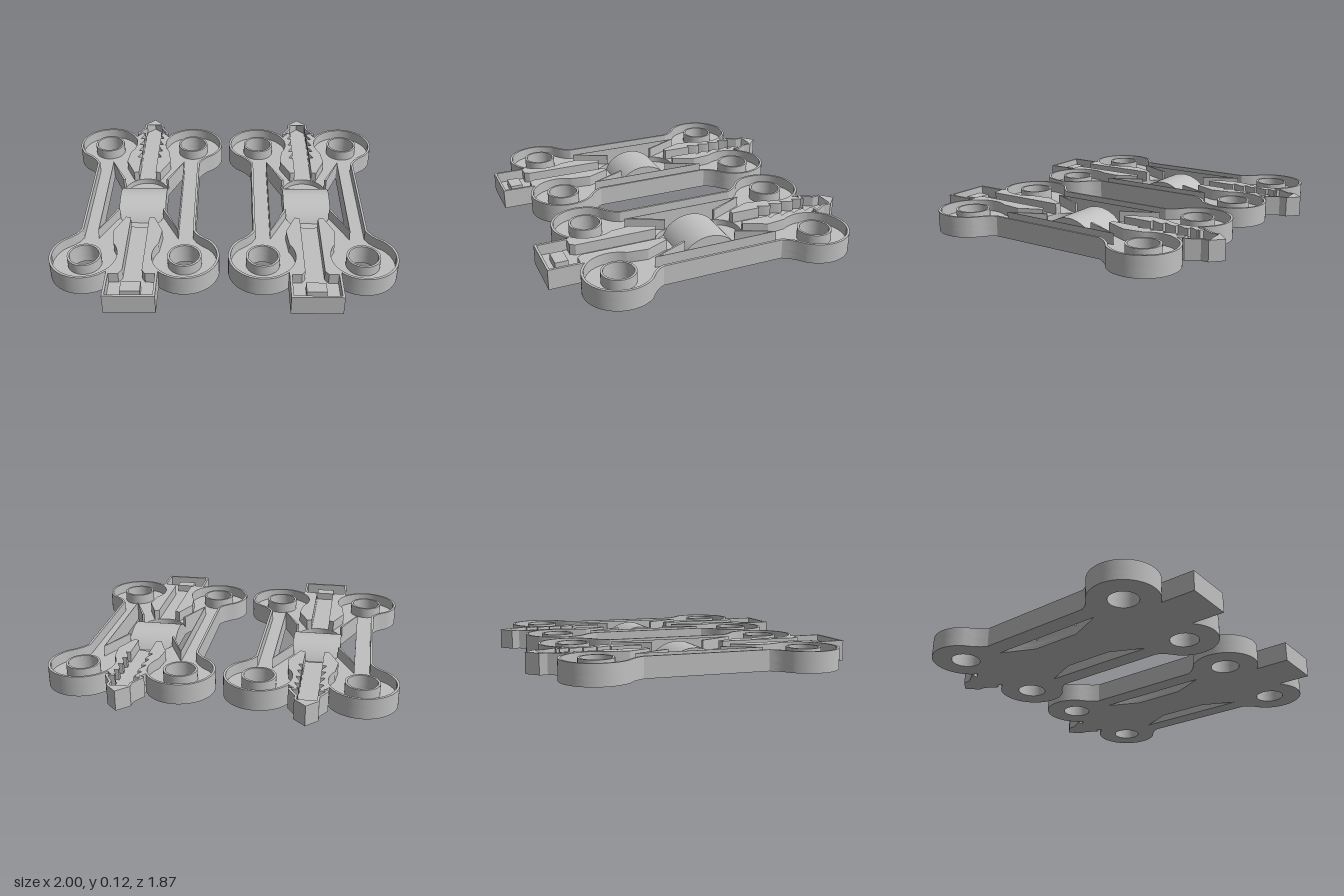
import * as THREE from 'three';
import { toCreasedNormals } from 'three/addons/utils/BufferGeometryUtils.js';

const H = 0.12, FLOOR = 0.055, POCKET = 0.02, RIM = 0.014;
const LOBE_X = 0.2875, LOBE_BACK = -0.612, LOBE_FRONT = 0.585, LOBE_R = 0.2;
const plastic = new THREE.MeshStandardMaterial({ color: 0xc0c0c0 });
plastic.name = 'grey plastic';

// points are [x, z] pairs in plan
function arc(cx, cz, r, from, to, n = 24) {
  return Array.from({ length: n + 1 }, (_, i) => {
    const a = THREE.MathUtils.degToRad(from + ((to - from) * i) / n);
    return [cx + r * Math.cos(a), cz + r * Math.sin(a)];
  });
}
const ring = (cx, cz, r) => arc(cx, cz, r, 0, 360, 40).slice(0, -1);
const mirror = (pts) => pts.map(([x, z]) => [-x, z]).reverse();

// shift a path sideways by d with limited mitres
function offset(pts, d, closed) {
  const n = pts.length;
  const normal = (a, b) => {
    const dx = b[0] - a[0], dz = b[1] - a[1], l = Math.hypot(dx, dz);
    return [-dz / l, dx / l];
  };
  return pts.map((p, i) => {
    const prev = closed || i > 0 ? pts[(i + n - 1) % n] : null;
    const next = closed || i < n - 1 ? pts[(i + 1) % n] : null;
    const a = prev ? normal(prev, p) : normal(p, next);
    const b = next ? normal(p, next) : a;
    const k = d / Math.max(0.4, 1 + a[0] * b[0] + a[1] * b[1]);
    return [p[0] + (a[0] + b[0]) * k, p[1] + (a[1] + b[1]) * k];
  });
}

// plan points to 2D vectors, wound as asked so every wall faces outward
function wound(pts, clockwise) {
  const v = pts.map(([x, z]) => new THREE.Vector2(x, -z));
  return THREE.ShapeUtils.isClockWise(v) === clockwise ? v : v.reverse();
}

// upright slab of a plan outline between two heights
function slab(name, pts, holes, y0, y1) {
  const shape = new THREE.Shape(wound(pts, false));
  shape.holes = holes.map((h) => new THREE.Path(wound(h, true)));
  let geo = new THREE.ExtrudeGeometry(shape, { depth: y1 - y0, bevelEnabled: false });
  geo.rotateX(-Math.PI / 2).translate(0, y0, 0);
  geo = toCreasedNormals(geo, 0.5);
  const mesh = new THREE.Mesh(geo, plastic);
  mesh.name = name;
  return mesh;
}

function createClip() {
  const clip = new THREE.Group();
  const lobes = [];
  for (const s of [-1, 1]) for (const z of [LOBE_BACK, LOBE_FRONT]) lobes.push([s * LOBE_X, z]);

  // outer outline, right half from the barbed tip to the socket
  const half = [
    [0.067, -0.87], [0.067, -0.825], [0.11, -0.755], [0.11, -0.74], [0.08, -0.74],
    ...arc(LOBE_X, LOBE_BACK, LOBE_R, -154, 45, 40),
    [0.39, -0.44], [0.36, -0.405], [0.34, -0.37], [0.34, 0.35], [0.36, 0.385], [0.39, 0.415],
    ...arc(LOBE_X, LOBE_FRONT, LOBE_R, -45, 135, 36),
    [0.145, 0.735], [0.145, 0.93],
  ];
  const outline = [[0, -0.935], ...half, ...mirror(half)];

  // openings between side bars and bridge
  const opening = [[0.145, 0.14], [0.235, 0.345], [0.235, -0.375], [0.145, -0.17]];
  const openings = [opening, mirror(opening)];
  const bores = lobes.map(([x, z]) => ring(x, z, 0.085));

  // shallow half-round pockets at both ends of the bridge
  const pockets = [arc(0, -0.135, 0.138, 180, 360), arc(0, 0.11, 0.138, 0, 180)];
  clip.add(slab('bottomPlate', outline, [...openings, ...bores], 0, POCKET));
  clip.add(slab('trayFloor', outline, [...openings, ...bores, ...pockets], POCKET, FLOOR));
  clip.add(slab('outerRim', outline, [offset(outline, RIM, true)], FLOOR, H));

  // walls around the openings, left open beside the bridge
  const edge = [...opening, ...offset(opening, RIM, false).reverse()];
  clip.add(slab('openingRim', edge, [], FLOOR, H), slab('openingRim', mirror(edge), [], FLOOR, H));

  // raised collars round the bores
  lobes.forEach(([x, z], i) => {
    clip.add(slab('boreCollar', ring(x, z, 0.098), [bores[i]], FLOOR, H));
  });

  // ribs beside the central channel; the back ones carry a sawtooth edge
  const teeth = [];
  for (let i = 0; i < 4; i++) {
    const z = -0.68 + i * 0.08;
    teeth.push([0.055, z - 0.055], [0.082, z], [0.055, z]);
  }
  const backRib = [
    ...teeth, [0.055, -0.262], [0.085, -0.255], [0.145, -0.39],
    ...arc(LOBE_X, LOBE_BACK, 0.188, 146, 206, 12), [0.09, -0.735],
  ];
  const frontRib = [
    [0.055, 0.237], [0.085, 0.225], [0.145, 0.36],
    ...arc(LOBE_X, LOBE_FRONT, 0.188, 214, 137, 14), [0.14, 0.745], [0.075, 0.745], [0.055, 0.715],
  ];
  for (const [name, rib] of [['toothedRib', backRib], ['frontRib', frontRib]]) {
    clip.add(slab(name, rib, [], FLOOR, H), slab(name, mirror(rib), [], FLOOR, H));
  }

  // catch block in the socket
  clip.add(slab('socketCatch', [[-0.056, 0.79], [0.056, 0.79], [0.056, 0.865], [-0.056, 0.865]], [], FLOOR, 0.1));

  // rounded bridge across the middle: a circular arc over its chord
  const section = new THREE.Shape();
  section.absarc(0, -0.078, 0.198, Math.PI * 0.155, Math.PI * 0.845, false);
  let geo = new THREE.ExtrudeGeometry(section, { depth: 0.29, bevelEnabled: false, curveSegments: 32 });
  geo.translate(0, 0, -0.145).rotateY(Math.PI / 2).translate(0, 0, -0.015);
  geo = toCreasedNormals(geo, 0.5);
  const bridge = new THREE.Mesh(geo, plastic);
  bridge.name = 'roundedBridge';
  clip.add(bridge);
  return clip;
}

export function createModel() {
  const model = new THREE.Group();
  model.name = 'clipPair';
  for (const side of [-1, 1]) {
    const clip = createClip();
    clip.name = side < 0 ? 'rightClip' : 'leftClip';
    clip.position.x = side * 0.5125;
    model.add(clip);
  }
  return model;
}
